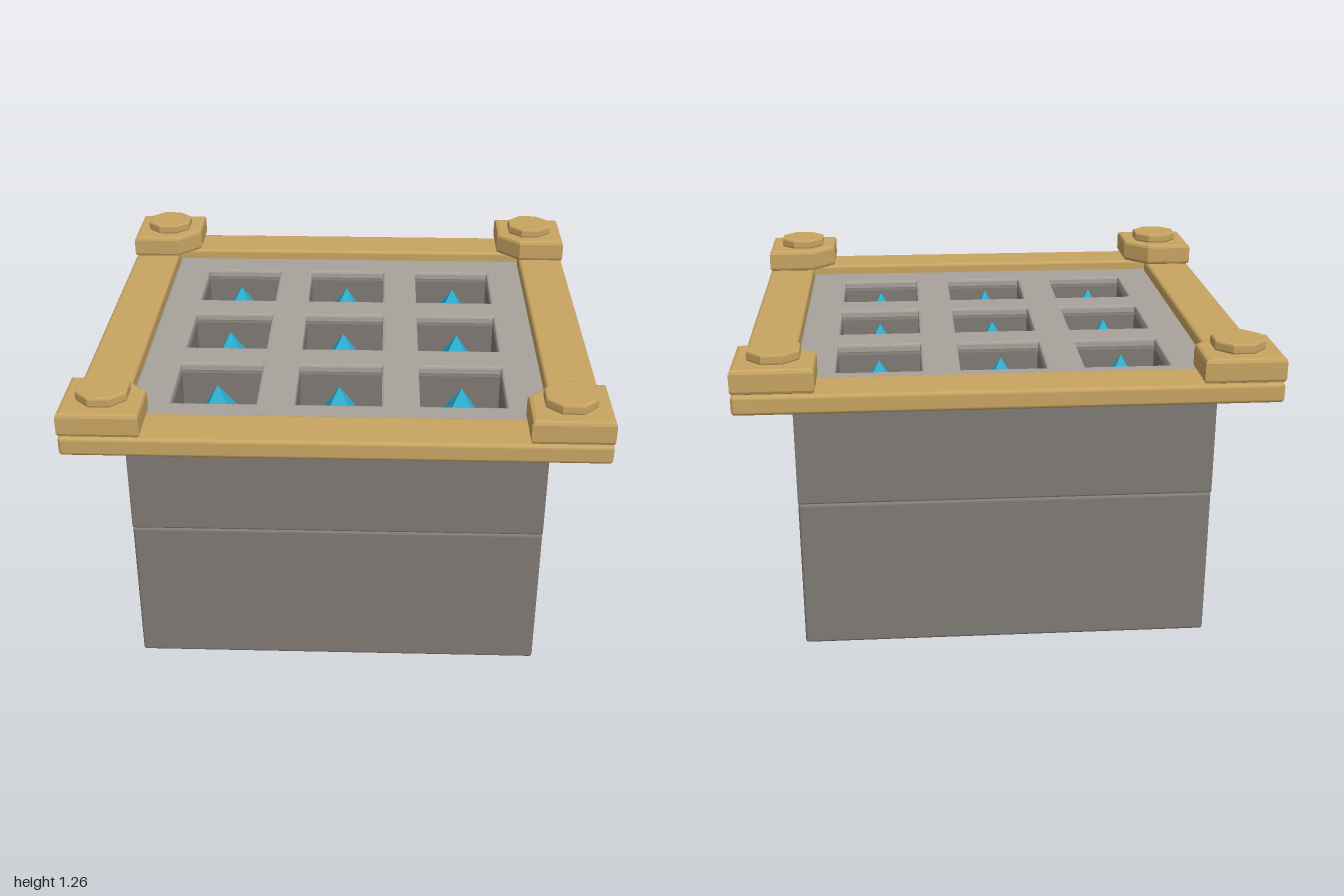
import * as THREE from 'three';
import { RoundedBoxGeometry } from 'three/addons/geometries/RoundedBoxGeometry.js';

const mat = (color) => new THREE.MeshStandardMaterial({ color });
const stone = mat(0x7f7a74), paleStone = mat(0xa7a29b), wood = mat(0xc8a462), crystal = mat(0x2fb0d4);
crystal.flatShading = true;

const PITS = [-0.48, 0, 0.48];
const PIT_HALF = 0.165;

function add(parent, name, geometry, material, x = 0, y = 0, z = 0) {
  const mesh = new THREE.Mesh(geometry, material);
  mesh.name = name;
  mesh.position.set(x, y, z);
  parent.add(mesh);
  return mesh;
}

// Rounded box resting on height y
const block = (parent, name, w, h, d, material, x, y, z, r = 0.012) =>
  add(parent, name, new RoundedBoxGeometry(w, h, d, 2, r), material, x, y + h / 2, z);

const polygon = (points) => points.map(([x, y]) => new THREE.Vector2(x, y));
const square = (cx, cy, s) => polygon([[cx - s, cy - s], [cx + s, cy - s], [cx + s, cy + s], [cx - s, cy + s]]);

// Upright prism with softened edges, base at 0, rising to h
function prism(shape, h, bevel) {
  const g = new THREE.ExtrudeGeometry(shape, {
    depth: h - 2 * bevel, bevelEnabled: true, bevelThickness: bevel,
    bevelSize: bevel, bevelOffset: -bevel, bevelSegments: 2,
  });
  g.translate(0, 0, bevel);
  g.rotateX(-Math.PI / 2);
  return g;
}

// Square slab pierced by the nine pits
function piercedSlab(h, bevel) {
  const shape = new THREE.Shape(square(0, 0, 0.8));
  for (const x of PITS) for (const z of PITS) {
    shape.holes.push(new THREE.Path(square(x, z, PIT_HALF).reverse()));
  }
  return prism(shape, h, bevel);
}

export function createModel() {
  const model = new THREE.Group();
  model.name = 'spikeTrap';

  // Stone body: base, pierced upper course and paler top plate
  block(model, 'baseBlock', 1.6, 0.605, 1.6, stone, 0, 0, 0);
  add(model, 'upperBlock', piercedSlab(0.445, 0.008), stone, 0, 0.605, 0);
  add(model, 'topPlate', piercedSlab(0.04, 0.01), paleStone, 0, 1.045, 0);
  block(model, 'pitFloor', 1.5, 0.26, 1.5, stone, 0, 0.64, 0);

  // Crystal spikes, one in each pit
  const spike = new THREE.ConeGeometry(0.094 * Math.SQRT2, 0.175, 4);
  spike.rotateY(Math.PI / 4);
  for (const x of PITS) for (const z of PITS) add(model, 'spike', spike, crystal, x, 0.9875, z);

  // Wooden rim
  for (const s of [-1, 1]) {
    block(model, s > 0 ? 'frontBeam' : 'backBeam', 2, 0.075, 0.2, wood, 0, 1.05, s * 0.9, 0.015);
    block(model, s > 0 ? 'leftBeam' : 'rightBeam', 0.2, 0.075, 1.6, wood, s * 0.9, 1.05, 0, 0.015);
  }

  // Corner plates with a clipped inner corner, each carrying an octagonal stud
  const plate = prism(new THREE.Shape(polygon(
    [[-0.15, -0.05], [-0.05, -0.15], [0.15, -0.15], [0.15, 0.15], [-0.15, 0.15]])), 0.095, 0.015);
  const octagon = [...Array(8).keys()].map((i) => {
    const a = (i + 0.5) * Math.PI / 4;
    return [0.103 * Math.cos(a), 0.103 * Math.sin(a)];
  });
  const stud = prism(new THREE.Shape(polygon(octagon)), 0.04, 0.008);
  for (let i = 0; i < 4; i++) {
    const corner = new THREE.Group();
    corner.name = 'corner';
    corner.rotation.y = i * Math.PI / 2;
    add(corner, 'cornerPlate', plate, wood, 0.85, 1.127, -0.85);
    add(corner, 'stud', stud, wood, 0.85, 1.22, -0.85);
    model.add(corner);
  }
  return model;
}
